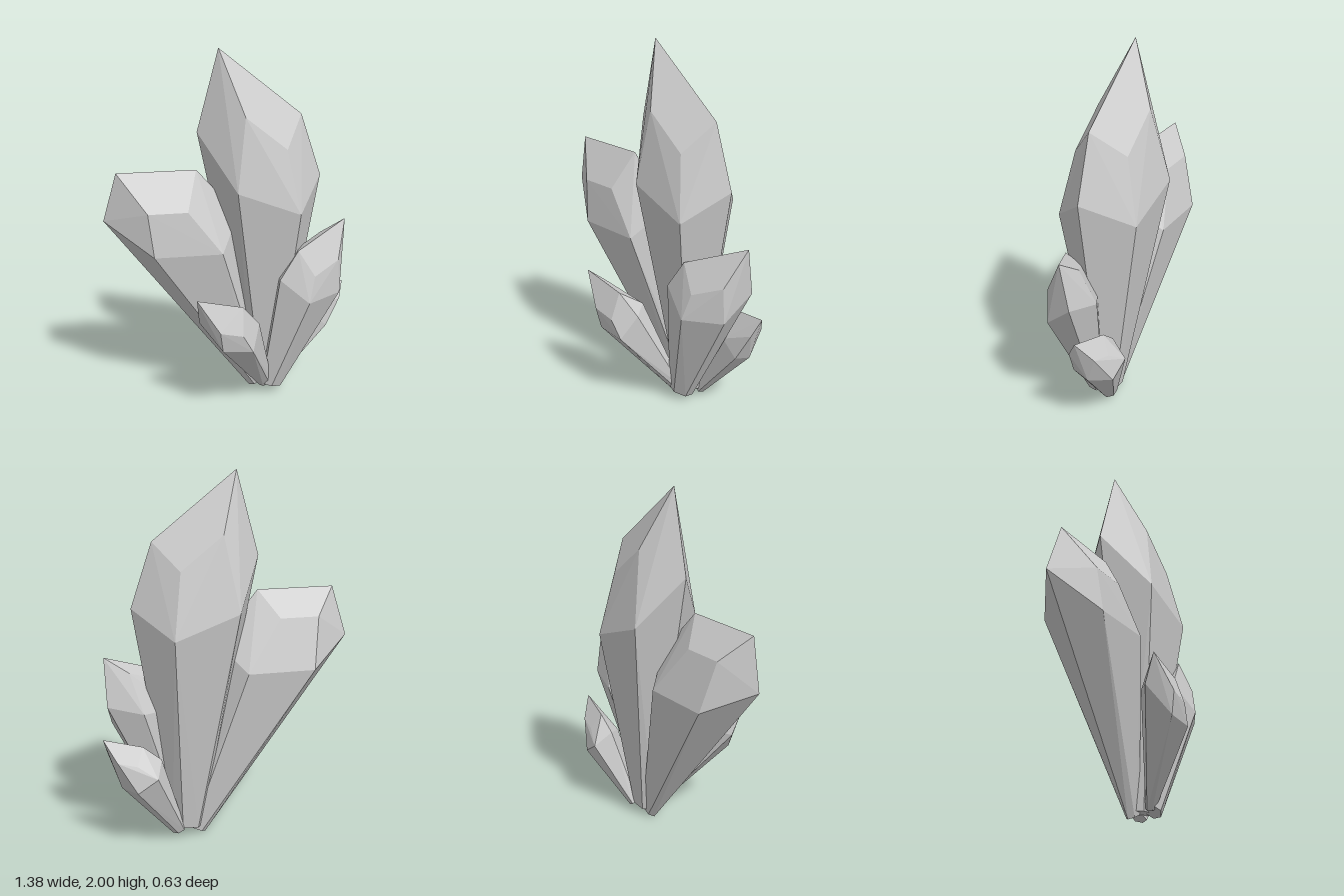
import * as THREE from 'three';
import { ConvexGeometry } from 'three/addons/geometries/ConvexGeometry.js';

const vec = (p) => new THREE.Vector3(...p);

// Skewed hexagon: "side" reaches the end corners, "front" the middle of the front edge.
// The two end corners are raised by "lift" (x, y).
function hexRing(centre, side, front, lift) {
  return Array.from({ length: 6 }, (_, k) => {
    const angle = (k * Math.PI) / 3;
    const point = vec(centre)
      .addScaledVector(vec(side), Math.cos(angle))
      .addScaledVector(vec(front), Math.sin(angle) / Math.sin(Math.PI / 3));
    return k % 3 === 0 ? point.add(vec([...lift, 0])) : point;
  });
}

// Small root facet, square to the direction in which the crystal leans
function rootRing(root, taper, [centre, side, front]) {
  const lean = vec(centre).sub(vec(root));
  return hexRing([0, 0, 0], side, front, [0, 0]).map((p) => {
    p.multiplyScalar(taper);
    p.y = -(p.x * lean.x + p.z * lean.z) / lean.y;
    return p.add(vec(root));
  });
}

// A crystal flares from its root to a shoulder, then closes to a slanted tip
function makeCrystal(name, material, root, taper, shoulder, tip) {
  const points = [...rootRing(root, taper, shoulder), ...hexRing(...shoulder), ...hexRing(...tip)];
  const mesh = new THREE.Mesh(new ConvexGeometry(points), material);
  mesh.name = name;
  return mesh;
}

export function createModel() {
  const group = new THREE.Group();
  group.name = 'crystalCluster';
  const material = new THREE.MeshStandardMaterial({ color: 0xcccccc, flatShading: true });
  const add = (name, ...shape) => group.add(makeCrystal(name, material, ...shape));

  // Tall centre crystal
  add('mainCrystal', [0.22, 0.05, -0.07], 0.25,
    [[0.17, 1.21, -0.075], [0.34, -0.13, 0.03], [0.005, -0.01, 0.22], [0, 0.215]],
    [[0.17, 1.58, -0.065], [0.225, -0.18, 0.015], [0, -0.01, 0.147], [0, 0.24]]);

  // Broad crystal leaning to the model's right
  add('rightCrystal', [0.175, 0.025, -0.08], 0.14,
    [[-0.256, 0.933, -0.086], [0.37, 0, 0.02], [0, -0.012, 0.176], [-0.064, 0.155]],
    [[-0.37, 1.19, -0.065], [0.215, 0, 0.01], [0.01, -0.03, 0.125], [-0.03, 0.17]]);

  // Smaller crystals around the foot
  add('leftCrystal', [0.235, 0.05, 0.01], 0.3,
    [[0.432, 0.68, 0.037], [0.205, 0.01, -0.1], [0.067, -0.05, 0.11], [0.015, 0.085]],
    [[0.481, 0.861, 0.055], [0.155, 0.06, -0.07], [0.03, -0.06, 0.075], [0.02, 0.115]]);

  add('frontCrystal', [0.2, 0.06, 0.01], 0.22,
    [[-0.031, 0.508, 0.213], [0.165, -0.015, 0.01], [0, -0.08, 0.087], [-0.03, 0.055]],
    [[-0.089, 0.603, 0.263], [0.125, -0.03, 0], [0.02, -0.063, 0.054], [-0.033, 0.1]]);

  add('backLeftCrystal', [0.28, 0.04, -0.1], 0.3,
    [[0.505, 0.394, -0.155], [0.105, -0.075, 0.02], [0.02, 0.011, 0.106], [-0.01, 0.025]],
    [[0.595, 0.505, -0.14], [0.1, 0.02, 0.03], [0.015, 0.01, 0.065], [-0.005, 0.09]]);

  return group;
}
